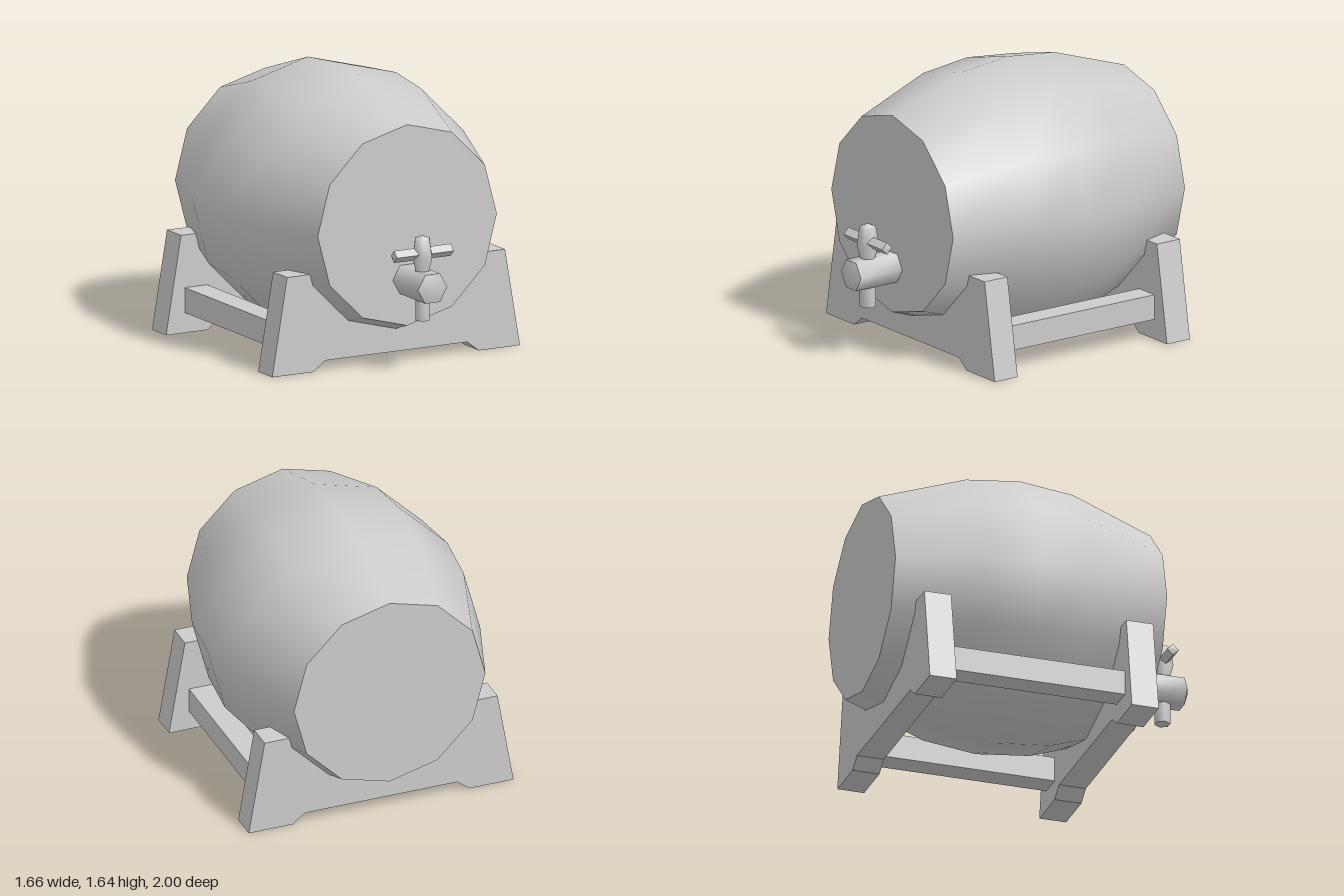
import * as THREE from 'three';
import { toCreasedNormals } from 'three/addons/utils/BufferGeometryUtils.js';

const material = new THREE.MeshStandardMaterial({ color: 0xcccccc });

function add(parent, name, geometry, x = 0, y = 0, z = 0) {
  const mesh = new THREE.Mesh(geometry, material);
  mesh.name = name;
  mesh.position.set(x, y, z);
  parent.add(mesh);
  return mesh;
}

// Closed turned solid around y; profile is [radius, height] from bottom to top.
function turned(profile, sides, creaseDegrees, start = 0) {
  const points = profile.map(([r, h]) => new THREE.Vector2(r, h));
  const geometry = new THREE.LatheGeometry(points, sides, start);
  return toCreasedNormals(geometry, THREE.MathUtils.degToRad(creaseDegrees));
}

// Trestle plate: splayed legs, raised underside and a notch that fits the cask.
function cradleGeometry(depth) {
  const right = [
    [0.475, 0.06], [0.555, 0], [0.83, 0], [0.73, 0.585],
    [0.577, 0.585], [0.559, 0.517], [0.322, 0.281],
  ];
  const left = right.map(([x, y]) => [-x, y]).reverse();
  const outline = [...right, [0, 0.195], ...left];
  const shape = new THREE.Shape(outline.map(([x, y]) => new THREE.Vector2(x, y)));
  const geometry = new THREE.ExtrudeGeometry(shape, { depth, bevelEnabled: false });
  return geometry.translate(0, 0, -depth / 2);
}

export function createModel() {
  const model = new THREE.Group();
  model.name = 'caskOnStand';

  // Bulging twelve-sided cask lying along z
  const cask = turned([
    [0, -1], [0.6, -1], [0.77, -0.495], [0.805, -0.165],
    [0.77, 0.165], [0.6, 0.67], [0, 0.67],
  ], 12, 40).rotateX(Math.PI / 2);
  add(model, 'cask', cask, 0, 0.84, 0);

  // Stand: two cradles joined by two rails
  const stand = new THREE.Group();
  stand.name = 'stand';
  model.add(stand);
  const frontZ = 0.457, backZ = -0.785, depth = 0.165;
  add(stand, 'frontCradle', cradleGeometry(depth), 0, 0, frontZ);
  add(stand, 'backCradle', cradleGeometry(depth), 0, 0, backZ);
  const railLength = frontZ - backZ - depth;
  for (const [name, side] of [['leftRail', 1], ['rightRail', -1]]) {
    add(stand, name, new THREE.BoxGeometry(0.15, 0.15, railLength),
      side * 0.63, 0.195, (frontZ + backZ) / 2);
  }

  // Tap: hexagonal barrel, spout, stem and crossbar handle
  const tap = new THREE.Group();
  tap.name = 'tap';
  tap.position.z = 0.847;
  model.add(tap);
  const quarter = Math.PI / 2;
  const body = turned([[0, -0.19], [0.098, -0.19], [0.098, 0.12], [0, 0.153]], 6, 65, quarter)
    .rotateX(quarter);
  add(tap, 'tapBody', body, 0, 0.52, 0);
  add(tap, 'tapSpout', turned([[0, 0.31], [0.047, 0.31], [0.047, 0.46], [0, 0.46]], 6, 65, quarter));
  add(tap, 'tapStem', turned([
    [0, 0.58], [0.045, 0.58], [0.045, 0.605], [0.065, 0.685], [0.048, 0.797], [0, 0.815],
  ], 6, 65, quarter));
  const handle = turned([
    [0, -0.2], [0.036, -0.19], [0.036, 0.19], [0, 0.2],
  ], 4, 30).rotateZ(-quarter);
  add(tap, 'tapHandle', handle, 0, 0.707, 0);

  return model;
}
